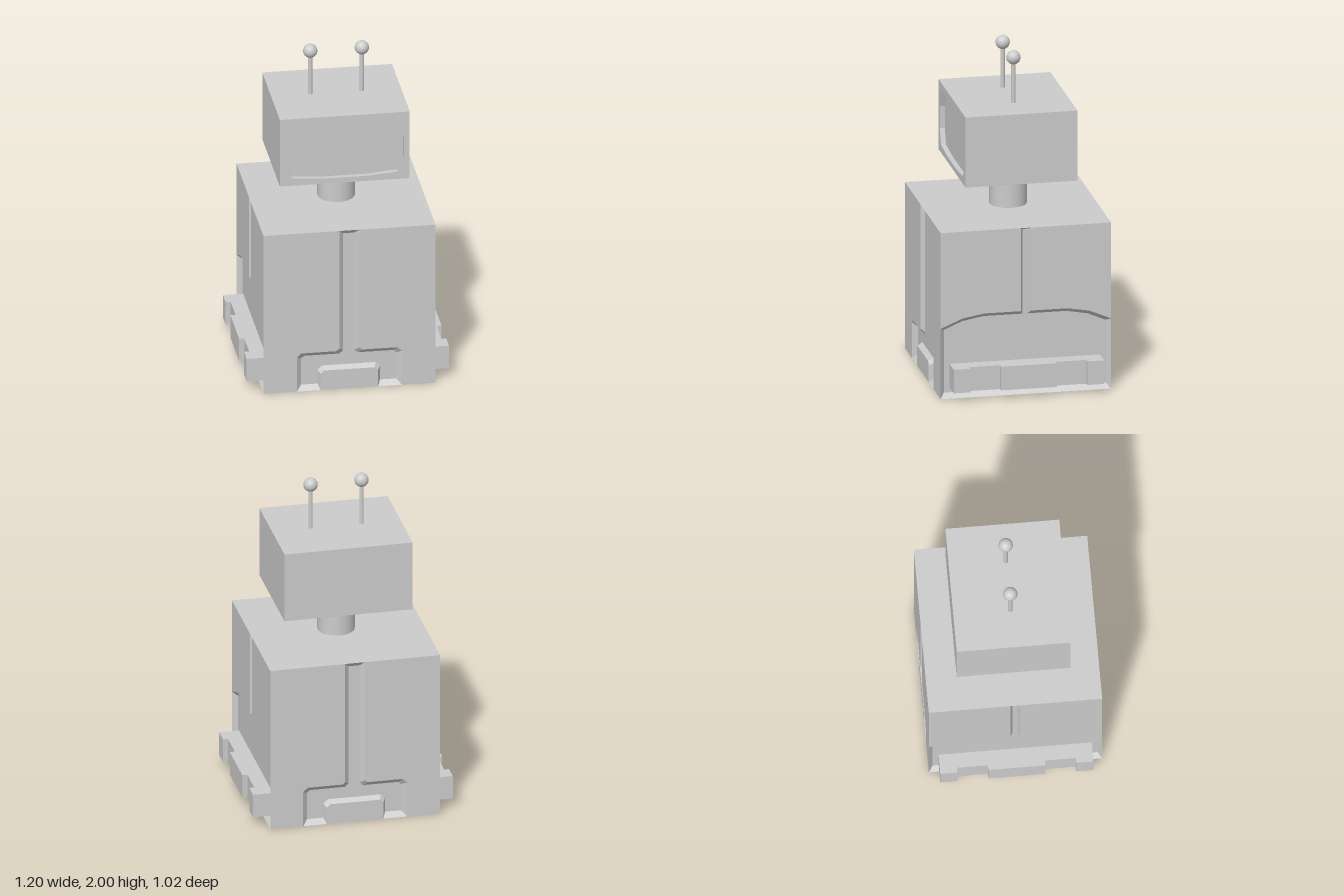
import * as THREE from 'three';
import { mergeGeometries } from 'three/addons/utils/BufferGeometryUtils.js';

const H = 0.51;      // half width of the body
const TOP = 1.02;    // height of the body
const FLOOR = 0.48;  // distance of the sunken floors from the centre

const material = new THREE.MeshStandardMaterial({ color: 0xcccccc });

function add(group, name, geometry, x = 0, y = 0, z = 0) {
  const mesh = new THREE.Mesh(geometry, material);
  mesh.name = name;
  mesh.position.set(x, y, z);
  group.add(mesh);
  return mesh;
}

const toShape = (pts) => new THREE.Shape(pts.map(([x, y]) => new THREE.Vector2(x, y)));
const mirrorX = (pts) => pts.map(([x, y]) => [-x, y]);
// right half, listed from top to bottom, closed with its mirror image
const closed = (half) => [...half, ...mirrorX(half).reverse()];

function flat(pts, z) {
  return new THREE.ShapeGeometry(toShape(pts)).translate(0, 0, z).toNonIndexed();
}

// sloped band joining two outlines with the same number of corners
function band(a, za, b, zb) {
  const pos = [], uv = [];
  a.forEach((p, i) => {
    const j = (i + 1) % a.length;
    const a0 = [...p, za], a1 = [...a[j], za], b0 = [...b[i], zb], b1 = [...b[j], zb];
    pos.push(...a0, ...b0, ...a1, ...a1, ...b0, ...b1);
    uv.push(0, 0, 0, 1, 1, 0, 1, 0, 0, 1, 1, 1);
  });
  const g = new THREE.BufferGeometry();
  g.setAttribute('position', new THREE.Float32BufferAttribute(pos, 3));
  g.setAttribute('uv', new THREE.Float32BufferAttribute(uv, 2));
  g.computeVertexNormals();
  return g;
}

// one body face: flat areas beside a sunken area with sloped walls
function sunkenFace(rim, floor) {
  const reachesCorner = rim[rim.length - 1][0] >= H;
  const side = reachesCorner
    ? [[H, TOP], ...rim.slice(0, -1)]
    : [[H, TOP], ...rim, [H, 0]];
  return mergeGeometries([
    flat(side, H), flat(mirrorX(side), H),
    flat(closed(floor), FLOOR),
    band(closed(rim), H, closed(floor), FLOOR),
  ]);
}

function buildBody() {
  const body = new THREE.Group();
  body.name = 'body';

  // front and back: narrow slot opening into a low arch
  const frontFace = sunkenFace(
    [[0.06, TOP], [0.06, 0.26], [0.075, 0.245], [0.285, 0.245], [0.312, 0.22], [0.312, 0]],
    [[0.033, 0.99], [0.033, 0.235], [0.055, 0.215], [0.265, 0.215], [0.282, 0.2], [0.282, 0.03]]);
  // bevelled block standing in the arch
  const base = closed([[0.16, 0.145], [0.185, 0.12], [0.185, 0]]);
  const cap = closed([[0.15, 0.125], [0.17, 0.105], [0.17, 0]]);
  const block = mergeGeometries([band(base, FLOOR, cap, H), flat(cap, H)]);

  // left and right: thin slot opening into a wide curved panel
  const sideFace = sunkenFace(
    [[0.03, TOP], [0.03, 0.51], [0.25, 0.51], [0.38, 0.487], [0.51, 0.432], [0.51, 0]],
    [[0.014, 1.005], [0.014, 0.485], [0.25, 0.485], [0.375, 0.462], [0.485, 0.415], [0.485, 0.03]]);

  for (let i = 0; i < 4; i++) {
    const face = new THREE.Group();
    face.name = ['front', 'leftSide', 'back', 'rightSide'][i];
    face.rotation.y = i * Math.PI / 2;
    if (i % 2 === 0) {
      add(face, 'slottedPanel', frontFace);
      add(face, 'archBlock', block);
    } else {
      add(face, 'curvedPanel', sideFace);
    }
    body.add(face);
  }

  add(body, 'bodyTop', new THREE.PlaneGeometry(2 * H, 2 * H).rotateX(-Math.PI / 2), 0, TOP);
  add(body, 'bodyBottom', new THREE.PlaneGeometry(2 * H, 2 * H).rotateX(Math.PI / 2));
  return body;
}

// side rail with two notches, drawn as a plan and extruded upwards
function railGeometry() {
  const half = [[0.6, 0.167], [0.57, 0.167], [0.57, 0.35], [0.6, 0.35], [0.6, 0.45], [0.47, 0.45]];
  half[0] = [0.6, 0.167];
  const plan = [...half, ...half.map(([x, z]) => [x, -z]).reverse()];
  return new THREE.ExtrudeGeometry(toShape(plan), { depth: 0.145, bevelEnabled: false })
    .rotateX(-Math.PI / 2);
}

function buildHead() {
  const head = new THREE.Group();
  head.name = 'head';
  const w = 0.385, y0 = 1.25, y1 = 1.68, d = 0.335, recess = 0.03;

  add(head, 'headBox', new THREE.BoxGeometry(2 * w, y1 - y0, 2 * d - recess),
    0, (y0 + y1) / 2, -recess / 2);

  // front frame around the sunken screen
  const frame = toShape([[-w, y0], [w, y0], [w, y1], [-w, y1]]);
  const screen = closed([[0.13, 1.645], [0.315, 1.63], [0.35, 1.525],
    [0.35, 1.39], [0.315, 1.298], [0.13, 1.283]]);
  frame.holes.push(toShape(screen));
  add(head, 'screenFrame',
    new THREE.ExtrudeGeometry(frame, { depth: recess, bevelEnabled: false }), 0, 0, d - recess);

  // antennas
  for (const side of [1, -1]) {
    const antenna = new THREE.Group();
    antenna.name = side > 0 ? 'leftAntenna' : 'rightAntenna';
    antenna.position.x = side * 0.153;
    add(antenna, 'antennaRod', new THREE.CylinderGeometry(0.013, 0.013, 0.27, 16), 0, 1.805);
    add(antenna, 'antennaBall', new THREE.SphereGeometry(0.042, 32, 20), 0, 1.958);
    head.add(antenna);
  }
  return head;
}

export function createModel() {
  const model = new THREE.Group();
  model.name = 'robot';
  model.add(buildBody());

  const rail = railGeometry();
  add(model, 'leftRail', rail, 0, 0.06);
  add(model, 'rightRail', rail, 0, 0.06).rotation.y = Math.PI;

  add(model, 'neck', new THREE.CylinderGeometry(0.11, 0.11, 0.23, 32), 0, 1.135);
  model.add(buildHead());
  return model;
}
